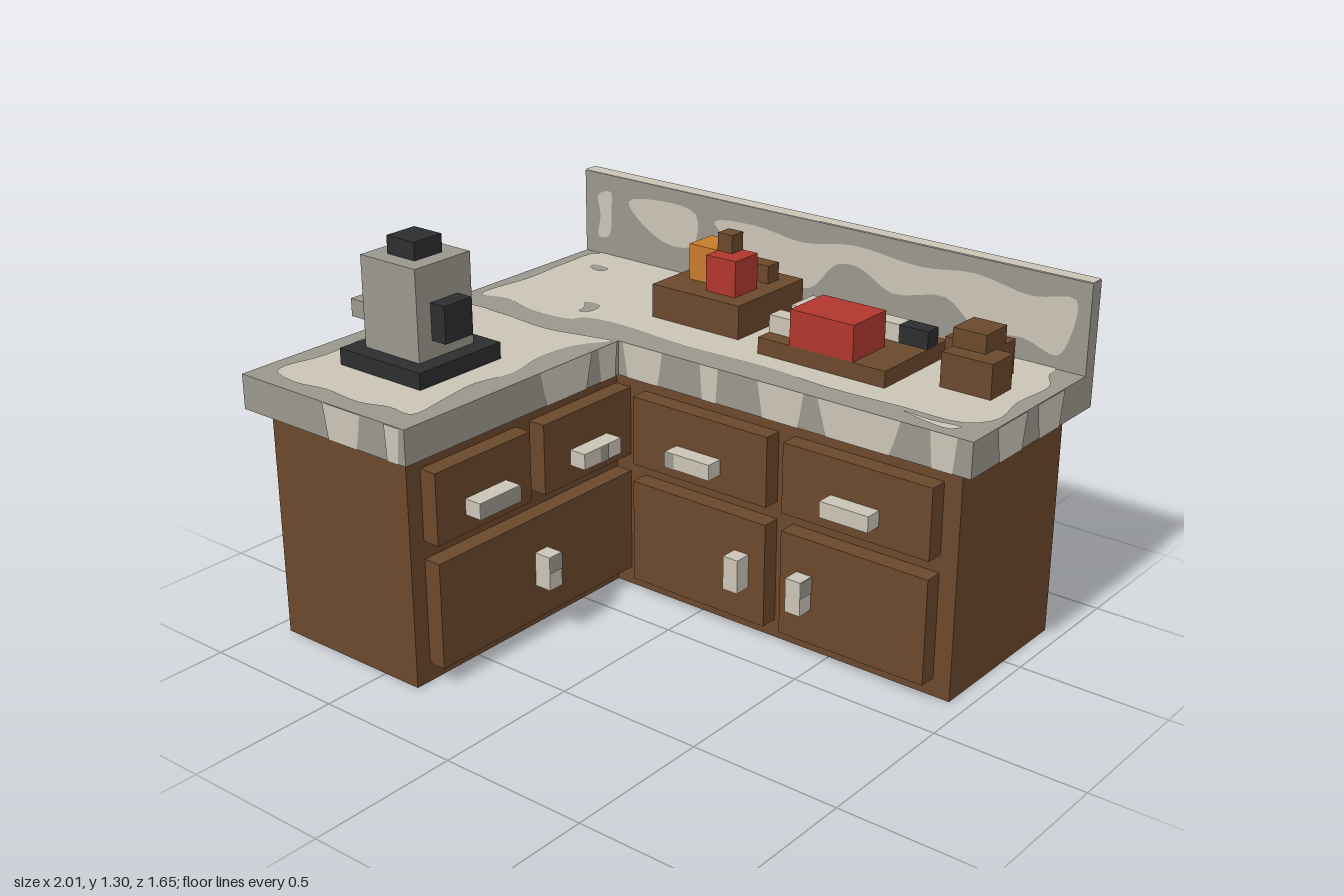
import * as THREE from 'three';

export function createModel() {
  const mat = (name, color, double = false) => {
    const m = new THREE.MeshStandardMaterial({ color });
    m.name = name;
    if (double) m.side = THREE.DoubleSide;
    return m;
  };
  const wood = mat('wood', 0x6b492b);
  const light = mat('lightStone', 0xcbc4b7);
  const gray = mat('grayStone', 0x9a978d);
  const dark = mat('darkMetal', 0x2c2d2f);
  const red = mat('red', 0xb1372e);
  const orange = mat('orange', 0xc87b2b);

  const root = new THREE.Group();
  const group = (name) => {
    const g = new THREE.Group();
    g.name = name;
    root.add(g);
    return g;
  };
  const add = (parent, name, geo, m) => {
    const mesh = new THREE.Mesh(geo, m);
    mesh.name = name;
    parent.add(mesh);
    return mesh;
  };
  // Box given by its limits on each axis
  const box = (parent, name, m, x0, x1, y0, y1, z0, z1) => {
    const mesh = add(parent, name, new THREE.BoxGeometry(x1 - x0, y1 - y0, z1 - z0), m);
    mesh.position.set((x0 + x1) / 2, (y0 + y1) / 2, (z0 + z1) / 2);
  };
  // L-shaped prism, seen from above
  const ell = (parent, name, m, x0, x1, z0, z1, innerX, innerZ, y0, y1) => {
    const s = new THREE.Shape([[x0, z0], [x1, z0], [x1, innerZ], [innerX, innerZ], [innerX, z1], [x0, z1]]
      .map(([x, z]) => new THREE.Vector2(x, -z)));
    const geo = new THREE.ExtrudeGeometry(s, { depth: y1 - y0, bevelEnabled: false });
    geo.rotateX(-Math.PI / 2).translate(0, y0, 0);
    add(parent, name, geo, m);
  };
  // Thin flat patch on a face; points are [x,z] on top, [x,y] front/back, [z,y] on the sides
  const faces = {
    top: (g, d) => g.rotateX(-Math.PI / 2).translate(0, d, 0),
    front: (g, d) => g.translate(0, 0, d),
    back: (g, d) => g.rotateY(Math.PI).translate(0, 0, d),
    right: (g, d) => g.rotateY(Math.PI / 2).translate(d, 0, 0),
    left: (g, d) => g.rotateY(-Math.PI / 2).translate(d, 0, 0),
  };
  const toLocal = (face, [u, v]) => new THREE.Vector2(
    face === 'right' || face === 'back' ? -u : u, face === 'top' ? -v : v);
  const outline = (face, pts, smooth) => {
    const p = pts.map((q) => toLocal(face, q));
    if (!smooth) return p;
    const curve = new THREE.CatmullRomCurve3(p.map((q) => new THREE.Vector3(q.x, q.y, 0)), true, 'centripetal');
    return curve.getPoints(p.length * 4).slice(0, -1).map((q) => new THREE.Vector2(q.x, q.y));
  };
  const patch = (parent, name, m, face, d, pts, smooth = true, holes = []) => {
    const s = new THREE.Shape(outline(face, pts, smooth));
    holes.forEach((h) => s.holes.push(new THREE.Path(outline(face, h, true))));
    add(parent, name, faces[face](new THREE.ShapeGeometry(s), d), m);
  };
  const T = 0.003; // patch offset

  // Cabinet body
  const cabinet = group('cabinet');
  ell(cabinet, 'cabinetBody', wood, -0.94, 0.94, -0.763, 0.765, -0.36, -0.18, 0, 0.77);

  // Doors, drawers and handles of the long run
  for (const [x0, x1, handleX, knobX] of [[-0.24, 0.29, 0.025, 0.2], [0.35, 0.88, 0.615, 0.44]]) {
    box(cabinet, 'drawer', wood, x0, x1, 0.475, 0.71, -0.2, -0.118);
    box(cabinet, 'door', wood, x0, x1, 0.062, 0.415, -0.2, -0.118);
    box(cabinet, 'drawerHandle', light, handleX - 0.087, handleX + 0.087, 0.535, 0.588, -0.118, -0.06);
    box(cabinet, 'doorHandle', light, knobX - 0.028, knobX + 0.028, 0.18, 0.295, -0.118, -0.06);
  }
  // Doors, drawers and handles of the short wing
  for (const [z0, z1, handleZ] of [[0.3, 0.708, 0.5], [-0.178, 0.238, 0.03]]) {
    box(cabinet, 'wingDrawer', wood, -0.38, -0.3, 0.475, 0.71, z0, z1);
    box(cabinet, 'wingDrawerHandle', light, -0.3, -0.24, 0.535, 0.588, handleZ - 0.088, handleZ + 0.088);
  }
  box(cabinet, 'wingDoor', wood, -0.38, -0.3, 0.062, 0.415, -0.178, 0.708);
  box(cabinet, 'wingDoorHandle', light, -0.3, -0.24, 0.18, 0.295, 0.235, 0.292);

  // Gray stains on the handles
  const rect = (u0, u1, v0, v1) => [[u0, v0], [u1, v0], [u1, v1], [u0, v1]];
  for (const [face, d, r] of [
    ['front', -0.06 + T, rect(-0.062, -0.025, 0.535, 0.588)],
    ['right', -0.24 + T, rect(0.412, 0.588, 0.535, 0.588)],
    ['right', -0.24 + T, rect(0.005, 0.045, 0.535, 0.588)],
    ['right', -0.24 + T, rect(0.235, 0.292, 0.24, 0.295)],
    ['right', 0.468 + T, rect(-0.118, -0.06, 0.24, 0.295)],
  ]) patch(cabinet, 'handleStain', gray, face, d, r, false);

  // Worktop and splashback
  const worktop = group('worktop');
  ell(worktop, 'worktopSlab', gray, -1, 1, -0.822, 0.82, -0.3, -0.12, 0.77, 0.885);
  box(worktop, 'splashback', gray, -1, 1, 0.885, 1.18, -0.822, -0.77);
  patch(worktop, 'splashbackTop', light, 'top', 1.18 + T, rect(-1, 1, -0.822, -0.77), false);

  // Light marbling on the top, with gray spots
  patch(worktop, 'longMarbling', light, 'top', 0.885 + T, [
    [-0.93, -0.768], [0, -0.768], [0.9, -0.768], [0.91, -0.71], [0.96, -0.62], [0.95, -0.45], [0.97, -0.3],
    [0.91, -0.22], [0.7, -0.21], [0.45, -0.2], [0.2, -0.22], [-0.1, -0.21], [-0.4, -0.23], [-0.52, -0.21],
    [-0.55, -0.17], [-0.7, -0.155], [-0.85, -0.19], [-0.95, -0.17], [-0.94, -0.4], [-0.95, -0.6],
  ], true, [
    [[-0.86, -0.65], [-0.79, -0.64], [-0.8, -0.61], [-0.85, -0.62]],
    [[-0.62, -0.33], [-0.56, -0.33], [-0.55, -0.27], [-0.58, -0.25], [-0.59, -0.29]],
  ]);
  patch(worktop, 'rightMarbling', light, 'top', 0.885 + T,
    [[0.72, -0.19], [0.82, -0.18], [0.92, -0.19], [0.9, -0.155], [0.8, -0.165]]);
  patch(worktop, 'wingMarbling', light, 'top', 0.885 + T, [
    [-0.92, -0.06], [-0.75, -0.07], [-0.55, -0.055], [-0.38, -0.09], [-0.31, -0.1], [-0.37, 0], [-0.39, 0.15],
    [-0.36, 0.3], [-0.39, 0.45], [-0.37, 0.6], [-0.36, 0.73], [-0.45, 0.73], [-0.55, 0.76], [-0.7, 0.75],
    [-0.82, 0.77], [-0.94, 0.73], [-0.92, 0.55], [-0.945, 0.3], [-0.93, 0.1],
  ], true, [[[-0.87, 0.04], [-0.83, 0.05], [-0.83, 0.1], [-0.86, 0.09]]]);

  // Marbling bands on the worktop edges: [start, end] along the face
  const bands = [
    ['front', 0.82, [[-0.64, -0.48], [-0.38, -0.32]]],
    ['front', -0.12, [[-0.28, -0.12], [0.03, 0.1], [0.25, 0.42], [0.47, 0.76], [0.86, 0.95]]],
    ['right', -0.3, [[0.01, 0.25], [-0.11, -0.02]]],
    ['right', 1, [[-0.42, -0.25], [-0.64, -0.48]]],
    ['left', -1, [[-0.6, -0.45], [-0.25, -0.05], [0.1, 0.2], [0.38, 0.58]]],
  ];
  for (const [face, d, list] of bands) {
    for (const [a, b] of list) {
      const w = (b - a) * 0.12;
      patch(worktop, 'edgeMarbling', light, face, d + (d === -1 ? -T : T),
        [[a + w, 0.77], [b - w, 0.77], [b - w / 2, 0.82], [b, 0.885], [a, 0.885], [a + w / 2, 0.83]], false);
    }
  }

  // Marbling on the splashback, front and rear
  const splashFront = [
    [[-0.94, 1.1], [-0.88, 1.12], [-0.88, 1.05], [-0.89, 0.96], [-0.94, 0.95], [-0.93, 1.03]],
    [[-0.8, 1.1], [-0.65, 1.13], [-0.5, 1.11], [-0.51, 1], [-0.62, 0.98], [-0.75, 1.04]],
    [[-0.42, 1.1], [-0.25, 1.12], [-0.05, 1.1], [0.15, 1.13], [0.4, 1.11], [0.6, 1.13], [0.8, 1.1], [0.95, 1.12],
      [0.94, 1], [0.9, 0.93], [0.78, 0.96], [0.62, 0.95], [0.5, 1.03], [0.3, 1.0], [0.17, 1.06], [0.08, 1.05],
      [-0.02, 0.95], [-0.2, 0.96], [-0.35, 1.04]],
    [[-0.45, 0.92], [-0.3, 0.93], [-0.32, 0.9], [-0.42, 0.895]],
  ];
  const splashBack = [
    [[-0.93, 1.1], [-0.88, 1.11], [-0.89, 0.99], [-0.93, 1]],
    [[-0.75, 1.06], [-0.6, 1.1], [-0.4, 1.08], [-0.42, 1.02], [-0.55, 1.04], [-0.66, 0.97]],
    [[-0.28, 1.08], [-0.12, 1.1], [0.02, 1.04], [0, 0.98], [-0.14, 1.03]],
    [[0.12, 1.08], [0.35, 1.1], [0.48, 1.05], [0.5, 0.95], [0.4, 0.96], [0.33, 1.04], [0.2, 1.02]],
    [[0.6, 1.1], [0.78, 1.09], [0.76, 1], [0.66, 1.04]],
    [[0.88, 1.12], [0.93, 1.1], [0.93, 0.98], [0.89, 1]],
    [[-0.5, 0.83], [-0.38, 0.86], [-0.25, 0.82], [-0.36, 0.8]],
  ];
  splashFront.forEach((p) => patch(worktop, 'splashMarbling', light, 'front', -0.77 + T, p));
  splashBack.forEach((p) => patch(worktop, 'rearMarbling', light, 'back', -0.822 - T, p));

  // Coffee machine
  const machine = group('coffeeMachine');
  box(machine, 'machineBase', dark, -0.82, -0.475, 0.885, 0.942, 0.235, 0.582);
  box(machine, 'machineBody', gray, -0.765, -0.533, 0.942, 1.238, 0.293, 0.525);
  box(machine, 'machineLid', dark, -0.707, -0.591, 1.238, 1.296, 0.352, 0.468);
  box(machine, 'machinePanel', dark, -0.533, -0.475, 1.0, 1.12, 0.352, 0.468);
  box(machine, 'machineSpout', gray, -0.883, -0.765, 1.0, 1.058, 0.352, 0.468);

  // Crate of food
  const crate = group('foodCrate');
  box(crate, 'crateBase', wood, -0.355, -0.005, 0.885, 1.0, -0.707, -0.358);
  box(crate, 'orangeFood', orange, -0.295, -0.18, 1.0, 1.12, -0.592, -0.475);
  box(crate, 'redFood', red, -0.18, -0.063, 1.0, 1.12, -0.533, -0.415);
  box(crate, 'foodStem', wood, -0.18, -0.122, 1.12, 1.18, -0.533, -0.475);
  box(crate, 'crateBack', wood, -0.295, -0.063, 1.0, 1.06, -0.65, -0.592);

  // Cutting board with meat and knife
  const board = group('cuttingBoard');
  box(board, 'board', wood, 0.115, 0.585, 0.885, 0.942, -0.65, -0.3);
  box(board, 'meat', red, 0.235, 0.468, 0.942, 1.06, -0.475, -0.3);
  box(board, 'bone', light, 0.115, 0.235, 0.942, 1.0, -0.417, -0.358);
  box(board, 'knifeBlade', light, 0.115, 0.41, 0.942, 1.0, -0.592, -0.475);
  box(board, 'knifeTang', light, 0.41, 0.48, 0.942, 1.0, -0.592, -0.533);
  box(board, 'knifeHandle', dark, 0.48, 0.585, 0.942, 1.0, -0.592, -0.533);

  // Stack of wooden blocks
  const stack = group('blockStack');
  box(stack, 'rearBlock', wood, 0.645, 0.82, 0.885, 1.0, -0.65, -0.533);
  box(stack, 'frontBlock', wood, 0.705, 0.88, 0.885, 1.0, -0.533, -0.415);
  box(stack, 'topBlock', wood, 0.705, 0.82, 1.0, 1.06, -0.592, -0.475);

  return root;
}
